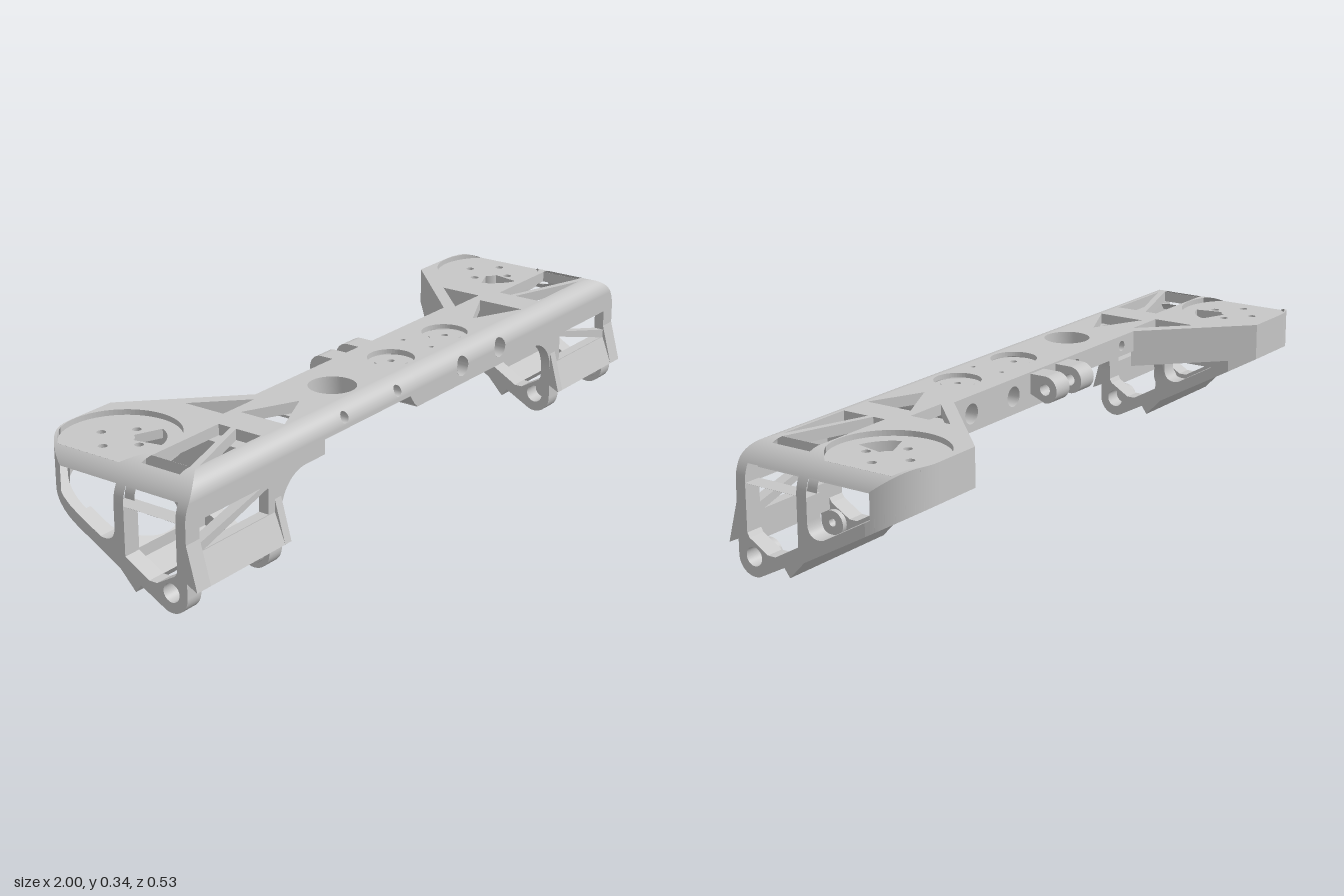
import * as THREE from 'three';

const metal = new THREE.MeshStandardMaterial({ color: 0xc6c6c6, side: THREE.DoubleSide });
metal.name = 'machined grey';

const TOP = 0.34, FRONT = 0.237, SPLIT = 0.4;
const poly = pts => new THREE.Shape(pts.map(p => new THREE.Vector2(...p)));
const circle = (x, y, r) => new THREE.Path().absarc(x, y, r, 0, Math.PI * 2);
const root = v => Math.sqrt(Math.max(0, v));

// Rules shared by the rounded edges and the sloped underside
const rollY = x => x <= 0.9 ? TOP : 0.24 + root(0.01 - (x - 0.9) ** 2);
const rollX = y => y <= 0.24 ? 1 : 0.9 + root(0.01 - (y - 0.24) ** 2);
const frontZ = y => y <= 0.29 ? FRONT : 0.187 + root(0.0025 - (y - 0.29) ** 2);
const rearZ = x => -0.112 - root(0.155 ** 2 - Math.max(0, x - 0.845) ** 2);
const slopeY = z => 0.075 + (0.02 - z) * 0.5575;

function add(parent, name, geometry) {
  const mesh = new THREE.Mesh(geometry, metal);
  mesh.name = name;
  parent.add(mesh);
}

function extrude(shape, depth, holes = []) {
  shape.holes.push(...holes);
  return new THREE.ExtrudeGeometry(shape, { depth, bevelEnabled: false, curveSegments: 28 });
}
// Plate drawn in x,z whose upper face lies at y
const flat = (shape, y, depth, holes) => extrude(shape, depth, holes).rotateX(Math.PI / 2).translate(0, y, 0);
// Plate drawn in z,y whose outer face lies at x
const side = (shape, x, depth, holes) => extrude(shape, depth, holes).rotateY(-Math.PI / 2).translate(x, 0, 0);
// Plate drawn in x,y whose rear face lies at z
const upright = (shape, z, depth, holes) => extrude(shape, depth, holes).translate(0, 0, z);

// Ruled surface between two curves, each a function of t in 0..1
function skin(a, b, n = 24) {
  const pos = [], index = [];
  for (let i = 0; i <= n; i++) {
    pos.push(...a(i / n), ...b(i / n));
    const k = i * 2;
    if (i < n) index.push(k, k + 1, k + 2, k + 1, k + 3, k + 2);
  }
  const g = new THREE.BufferGeometry();
  g.setAttribute('position', new THREE.Float32BufferAttribute(pos, 3));
  g.setIndex(index);
  g.computeVertexNormals();
  return g;
}

// Front face that rolls into the top, between two x limits
function frontSkin(xa, xb, y0) {
  const at = f => t => {
    const y = y0 + (TOP - y0) * Math.sin(t * Math.PI / 2);
    return [f(y), y, frontZ(y)];
  };
  return skin(at(xa), at(xb), 120);
}

// Leg plate outline in z,y: front edge, foot and sloped underside back to rear
function legShape(rear, top) {
  const s = new THREE.Shape();
  s.moveTo(frontZ(top), top);
  s.lineTo(FRONT, Math.min(top - 0.01, 0.288));
  s.lineTo(FRONT, 0.05);
  s.absarc(0.187, 0.05, 0.05, 0, -1.95, true);
  s.lineTo(0.09, 0.045);
  s.lineTo(0.025, 0.075);
  s.lineTo(rear, slopeY(rear));
  return s;
}
// Sill and front edge of the rear leg window, up to its top
function windowSill(path, top) {
  path.lineTo(-0.04, 0.142);
  path.quadraticCurveTo(0.012, 0.13, 0.012, 0.18);
  path.lineTo(0.012, top);
}
const legHoles = top => [circle(0.187, 0.053, 0.025), poly([[0.043, top], [0.043, 0.108],
  [0.118, 0.066], [0.142, 0.066], [0.2, 0.1], [0.207, 0.112], [0.207, top]])];

function buildEnd() {
  const end = new THREE.Group();
  const cx = 0.835, cz = -0.11, R = 0.155;

  // Top deck with open truss triangles and the round mount recess
  const deck = new THREE.Shape();
  const b = Math.acos(0.065 / R);
  deck.moveTo(SPLIT, 0.187);
  deck.lineTo(0.9, 0.187);
  deck.absarc(cx, cz, R, b, Math.PI * 2 - b, false);
  [0.9, 0.88, 0.86, 0.845].forEach(x => deck.lineTo(x, rearZ(x)));
  [[0.7, -0.267], [0.43, 0], [SPLIT, 0]].forEach(p => deck.lineTo(...p));
  add(end, 'topDeck', flat(deck, TOP, 0.03, [
    poly([[0.405, 0.115], [0.555, 0.043], [0.555, 0.184]]),
    poly([[0.59, -0.11], [0.59, 0.015], [0.465, 0.015]]),
    poly([[0.65, 0.05], [0.8995, 0.05], [0.8995, 0.17], [0.65, 0.088]]),
    poly([[0.65, 0.105], [0.88, 0.184], [0.65, 0.184]]),
  ]));

  // Recessed mount plate with bolt holes and a fan-shaped opening
  const a = Math.acos(0.118 / R);
  const plate = new THREE.Shape().absarc(cx, cz, R, a, Math.PI * 2 - a, false);
  const fan = new THREE.Path();
  fan.absarc(cx, cz, 0.115, 1.78, 2.75, false);
  fan.absarc(cx, cz, 0.035, 2.75, 1.78, true);
  const bolts = [[0.065, 0], [0, -0.065], [-0.066, -0.006], [0.006, 0.066]];
  add(end, 'mountPlate', flat(plate, 0.325, 0.025, [fan, ...bolts.map(([x, z]) => circle(cx + x, cz + z, 0.012))]));

  // Rounded outer shoulder, broken by the windows and the recess
  const low = Math.acos(0.48), cut = Math.asin(0.53), slot = Math.asin(0.37);
  const chord = x => root(R * R - (x - cx) ** 2);
  for (const r of [0.1, 0.06]) {
    const band = (t0, t1, z0, z1) => {
      const at = f => t => {
        const q = t0 + (t1 - t0) * t, s = Math.sin(q), c = Math.cos(q);
        return [0.9 + r * s, 0.24 + r * c, f(0.9 + 0.1 * s, 0.24 + 0.1 * c)];
      };
      add(end, 'shoulder', skin(at(z0), at(z1)));
    };
    const front = (x, y) => frontZ(y), recessFront = x => cz + chord(x);
    band(low, Math.PI / 2, () => 0.012, () => 0.043);
    band(low, Math.PI / 2, () => 0.207, front);
    band(cut, low, rearZ, front);
    band(0, cut, rearZ, x => Math.max(rearZ(x), cz - chord(x)));
    band(slot, cut, recessFront, front);
    band(0, slot, recessFront, () => 0.05);
    band(0, slot, () => 0.17, front);
  }
  add(end, 'frontEdge', frontSkin(() => SPLIT, rollX, 0.29));

  // Front panel with a diagonal brace and a fillet into the bar
  const panel = poly([[0.64, 0.08], [1, 0.08], [1, 0.24]]);
  for (let y = 0.25; y < 0.295; y += 0.01) panel.lineTo(rollX(y), y);
  panel.lineTo(0.46, 0.29);
  panel.lineTo(0.46, 0.24);
  panel.lineTo(0.54, 0.24);
  panel.absarc(0.54, 0.14, 0.1, Math.PI / 2, 0, true);
  add(end, 'frontPanel', upright(panel, 0.207, 0.03, [
    poly([[0.95, 0.178], [0.95, 0.237], [0.72, 0.237]]),
    poly([[0.665, 0.157], [0.935, 0.157], [0.665, 0.236]]),
  ]));
  const fillet = (q0, q1, z) => t => {
    const q = q0 + (q1 - q0) * t;
    return [0.54 + 0.1 * Math.sin(q), 0.14 + 0.1 * Math.cos(q), z];
  };
  const brow = Math.acos(0.9);
  add(end, 'legFillet', skin(fillet(0, brow, 0), fillet(0, brow, 0.207)));
  add(end, 'legFillet', skin(fillet(brow, Math.PI / 2, 0.012), fillet(brow, Math.PI / 2, 0.043)));

  // Outer leg, open at the rear where the curved pod wall takes over
  const outer = legShape(-0.112, 0.24);
  outer.lineTo(-0.112, 0.182);
  windowSill(outer, 0.24);
  add(end, 'outerLeg', side(outer, 1, 0.05, legHoles(0.2397)));

  // Inner leg with both windows closed
  const inner = legShape(-0.2, 0.31);
  inner.lineTo(-0.2, 0.31);
  const rearWindow = new THREE.Path();
  rearWindow.moveTo(-0.15, 0.205);
  windowSill(rearWindow, 0.205);
  add(end, 'innerLeg', side(inner, 0.69, 0.05, [...legHoles(0.23), rearWindow]));

  // Foot bosses behind the counterbores
  for (const x of [0.95, 0.705]) {
    const boss = new THREE.Shape().absarc(0.187, 0.05, 0.035, 0, Math.PI * 2);
    add(end, 'footBoss', side(boss, x, 0.015, [circle(0.187, 0.053, 0.011)]));
  }

  // Front lip and rear fin running across the legs
  add(end, 'frontLip', side(poly([[FRONT, 0.155], [0.268, 0.075], [FRONT, 0.09]]), 1, 0.36));
  for (const [x, w] of [[1, 0.05], [0.665, 0.025]])
    add(end, 'lipGusset', side(poly([[FRONT, 0.19], [0.268, 0.075], [FRONT, 0.09]]), x, w));
  add(end, 'rearFin', side(poly([[0.09, 0.045], [0.073, 0.022], [0.02, 0.078]]), 1, 0.36));

  // Pod walls, the outer corner running concentric with the mount
  const q0 = Math.asin(0.06 / 0.155);
  const corner = bottom => t => {
    const x = 0.845 + 0.155 * Math.cos(q0 + (Math.PI / 2 - q0) * t), z = rearZ(x);
    return [x, bottom ? slopeY(z) : rollY(x), z];
  };
  add(end, 'podCorner', skin(corner(false), corner(true)));
  const wall = (x0, z0, x1, z1) => add(end, 'podWall', skin(
    t => [x0 + (x1 - x0) * t, TOP, z0 + (z1 - z0) * t],
    t => [x0 + (x1 - x0) * t, 0.235, z0 + (z1 - z0) * t], 1));
  wall(0.845, -0.267, 0.7, -0.267);
  wall(0.7, -0.267, 0.43, 0);
  wall(0.7, -0.237, 0.45, 0.01);

  // Sloped rim under the pod, also the sill of the open side window
  const rim = poly([[0.64, 0.03], [1, 0.03], [1, -0.112]]);
  for (let i = 1; i <= 10; i++) {
    const x = 0.845 + 0.155 * Math.cos(i * Math.PI / 20);
    rim.lineTo(x, rearZ(x));
  }
  rim.lineTo(0.7, -0.267);
  rim.lineTo(0.64, -0.207);
  const rimGeometry = flat(rim, 0.035, 0.035, [circle(0.83, cz, 0.137)]);
  const p = rimGeometry.attributes.position;
  for (let i = 0; i < p.count; i++) p.setY(i, p.getY(i) + slopeY(p.getZ(i)));
  rimGeometry.computeVertexNormals();
  add(end, 'podRim', rimGeometry);

  // Bore wall, full height only at the rear
  const bore = bottom => t => {
    const q = t * Math.PI * 2, z = cz + 0.137 * Math.sin(q);
    return [0.83 + 0.137 * Math.cos(q), bottom ? (z > -0.175 ? 0.285 : slopeY(z)) : 0.302, z];
  };
  add(end, 'boreWall', skin(bore(false), bore(true), 64));
  return end;
}

export function createModel() {
  const model = new THREE.Group();
  const left = buildEnd();
  left.name = 'leftEnd';
  const right = left.clone();
  right.name = 'rightEnd';
  right.scale.x = -1;
  model.add(left, right);

  // Centre deck with one through hole, two pots and two pin holes
  const rect = (x0, x1, y0, y1) => poly([[x0, y0], [x1, y0], [x1, y1], [x0, y1]]);
  add(model, 'centreDeck', flat(rect(-SPLIT, SPLIT, 0, 0.187), TOP, 0.013, [
    circle(-0.265, 0.115, 0.065), circle(0, 0.115, 0.065), circle(0.26, 0.115, 0.065),
    circle(0.135, 0.06, 0.007), circle(0.135, 0.155, 0.007)]));
  for (const x of [0, 0.26]) {
    const disc = (r, y, d) => add(model, 'pot', flat(new THREE.Shape().absarc(x, 0.115, r, 0, Math.PI * 2), y, d, [circle(x, 0.115, 0.01)]));
    disc(0.067, 0.324, 0.006);
    disc(0.045, 0.33, 0.006);
  }
  const liner = y => t => [-0.265 + 0.065 * Math.cos(t * Math.PI * 2), y, 0.115 + 0.065 * Math.sin(t * Math.PI * 2)];
  add(model, 'throughHole', skin(liner(0.28), liner(0.335), 40));

  // Underside, raised along one stretch
  add(model, 'raisedUnderside', flat(rect(-SPLIT, -0.05, 0, FRONT), 0.287, 0.007, [circle(-0.265, 0.115, 0.065)]));
  add(model, 'underside', flat(rect(-0.05, SPLIT, 0, FRONT), 0.247, 0.007));
  add(model, 'undersideStep', upright(poly([[-0.045, 0.24], [-0.06, 0.25], [-0.085, 0.284], [-0.045, 0.284]]), 0, FRONT));

  // Front wall split around the cross holes, back wall and hole liners
  const holes = [[-0.37, 0.31, 0.015], [-0.135, 0.31, 0.015], [0.17, 0.29, 0.028], [0.36, 0.29, 0.028]];
  const edge = (i, s) => y => holes[i][0] + s * root(holes[i][2] ** 2 - (y - holes[i][1]) ** 2);
  const at = x => () => x;
  [[at(-SPLIT), edge(0, -1), 0.28], [edge(0, 1), edge(1, -1), 0.28], [edge(1, 1), at(-0.05), 0.28],
    [at(-0.05), edge(2, -1), 0.24], [edge(2, 1), edge(3, -1), 0.24], [edge(3, 1), at(SPLIT), 0.24]]
    .forEach(s => add(model, 'frontWall', frontSkin(...s)));
  add(model, 'frontWall', upright(rect(SPLIT, 0.46, 0.24, 0.29), 0.207, 0.03));
  add(model, 'frontWall', upright(rect(-0.46, -SPLIT, 0.28, 0.29), 0.207, 0.03));
  add(model, 'backWall', upright(poly([[-0.45, TOP], [-0.45, 0.28], [-0.05, 0.28],
    [-0.05, 0.24], [0.45, 0.24], [0.45, TOP]]), -0.005, 0.02, holes.map(h => circle(...h))));
  for (const [x, y, r] of holes) {
    const ring = f => t => {
      const q = t * Math.PI * 2, yy = y + r * Math.sin(q);
      return [x + r * Math.cos(q), yy, f(yy)];
    };
    add(model, 'crossHole', skin(ring(at(0)), ring(frontZ)));
  }

  // Hinge knuckles on the back
  for (const x of [-0.03, 0.09]) {
    const k = poly([[0, 0.28], [0, 0.335]]);
    k.lineTo(-0.052, 0.335);
    k.absarc(-0.052, 0.297, 0.038, Math.PI / 2, Math.PI * 1.5, false);
    add(model, 'hingeKnuckle', side(k, x, 0.063, [circle(-0.052, 0.297, 0.016)]));
  }
  return model;
}
